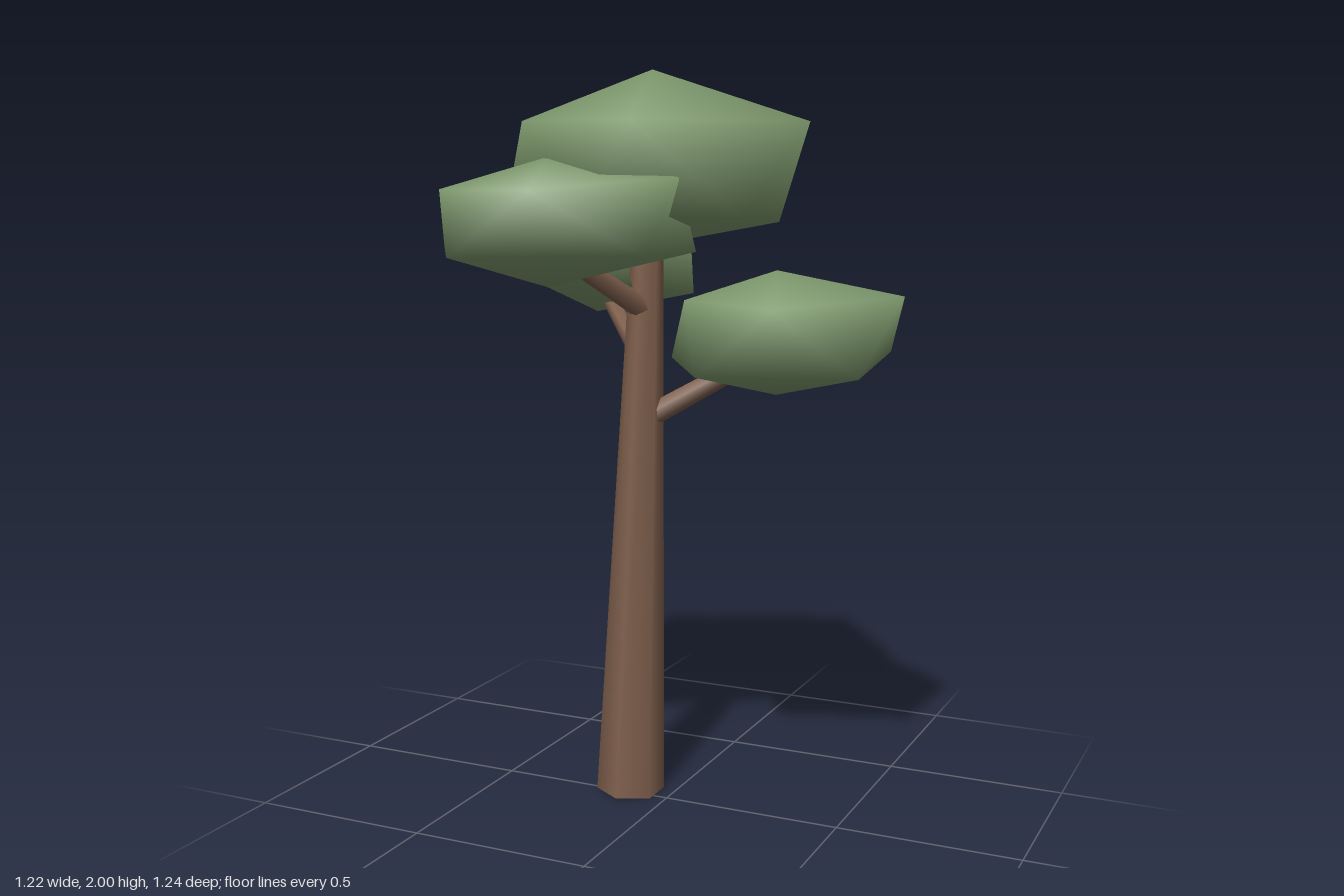
import * as THREE from 'three';

const leafGreen = new THREE.MeshStandardMaterial({ color: 0x7d986c });
const barkBrown = new THREE.MeshStandardMaterial({ color: 0x80604d });
leafGreen.name = 'leafGreen';
barkBrown.name = 'barkBrown';

// Tapered six-sided limb running between two points
function limb(name, from, to, r0, r1) {
  const a = new THREE.Vector3(...from), b = new THREE.Vector3(...to);
  const dir = b.clone().sub(a);
  const mesh = new THREE.Mesh(new THREE.CylinderGeometry(r1, r0, dir.length(), 6), barkBrown);
  mesh.position.copy(a).add(b).multiplyScalar(0.5);
  mesh.quaternion.setFromUnitVectors(new THREE.Vector3(0, 1, 0), dir.normalize());
  mesh.name = name;
  return mesh;
}

// Irregular icosahedron: top pole, upper ring, lower ring, bottom pole, smooth shaded
function foliage(name, top, upper, lower, bottom) {
  const index = [];
  for (let i = 0; i < 5; i++) {
    const j = (i + 1) % 5;
    const u = 1 + i, un = 1 + j, l = 6 + i, ln = 6 + j;
    index.push(0, un, u, u, un, l, l, un, ln, 11, l, ln);
  }
  const g = new THREE.BufferGeometry();
  g.setAttribute('position', new THREE.Float32BufferAttribute([top, ...upper, ...lower, bottom].flat(), 3));
  g.setIndex(index);
  g.computeVertexNormals();
  const mesh = new THREE.Mesh(g, leafGreen);
  mesh.name = name;
  return mesh;
}

export function createModel() {
  const tree = new THREE.Group();
  tree.name = 'tree';

  // Leaning trunk and its three branches
  tree.add(
    limb('trunk', [-0.123, 0.005, -0.022], [-0.07, 1.66, -0.037], 0.095, 0.04),
    limb('leftBranch', [-0.06, 1.08, -0.04], [0.26, 1.27, -0.14], 0.032, 0.025),
    limb('rightBranch', [-0.09, 1.23, -0.04], [-0.35, 1.44, -0.28], 0.028, 0.022),
    limb('frontBranch', [-0.08, 1.37, -0.02], [-0.19, 1.55, 0.3], 0.032, 0.025),
  );

  // Large crown
  tree.add(foliage('crownFoliage', [-0.06, 2, -0.04],
    [[0.38, 1.86, -0.05], [0.07, 1.86, 0.36], [-0.28, 1.86, 0.27], [-0.39, 1.86, -0.28], [0.07, 1.86, -0.45]],
    [[0.31, 1.62, 0.22], [-0.07, 1.63, 0.365], [-0.52, 1.62, -0.05], [-0.22, 1.61, -0.53], [0.23, 1.6, -0.23]],
    [-0.06, 1.54, -0.06]));

  // Low clump on the model's left
  tree.add(foliage('leftFoliage', [0.26, 1.475, -0.14],
    [[0.61, 1.415, -0.15], [0.34, 1.39, 0.11], [0.06, 1.4, 0.02], [0.05, 1.39, -0.28], [0.34, 1.4, -0.385]],
    [[0.56, 1.22, 0.07], [0.17, 1.22, 0.2], [-0.04, 1.23, -0.12], [0.18, 1.25, -0.4], [0.52, 1.25, -0.335]],
    [0.26, 1.14, -0.14]));

  // Front clump
  tree.add(foliage('frontFoliage', [-0.19, 1.77, 0.3],
    [[0.17, 1.72, 0.3], [-0.12, 1.69, 0.525], [-0.41, 1.69, 0.46], [-0.42, 1.68, 0.1], [-0.08, 1.69, 0.02]],
    [[0.1, 1.53, 0.35], [-0.295, 1.53, 0.615], [-0.5, 1.54, 0.3], [-0.29, 1.5, 0.01], [0.12, 1.53, 0.08]],
    [-0.19, 1.445, 0.31]));

  // Back clump on the model's right
  tree.add(foliage('rightFoliage', [-0.33, 1.64, -0.28],
    [[-0.02, 1.58, -0.2], [-0.3, 1.58, 0.04], [-0.61, 1.58, -0.09], [-0.59, 1.56, -0.46], [-0.24, 1.555, -0.5]],
    [[-0.1, 1.43, 0], [-0.46, 1.48, 0.07], [-0.57, 1.43, -0.25], [-0.46, 1.4, -0.62], [-0.08, 1.39, -0.36]],
    [-0.35, 1.335, -0.28]));

  return tree;
}
